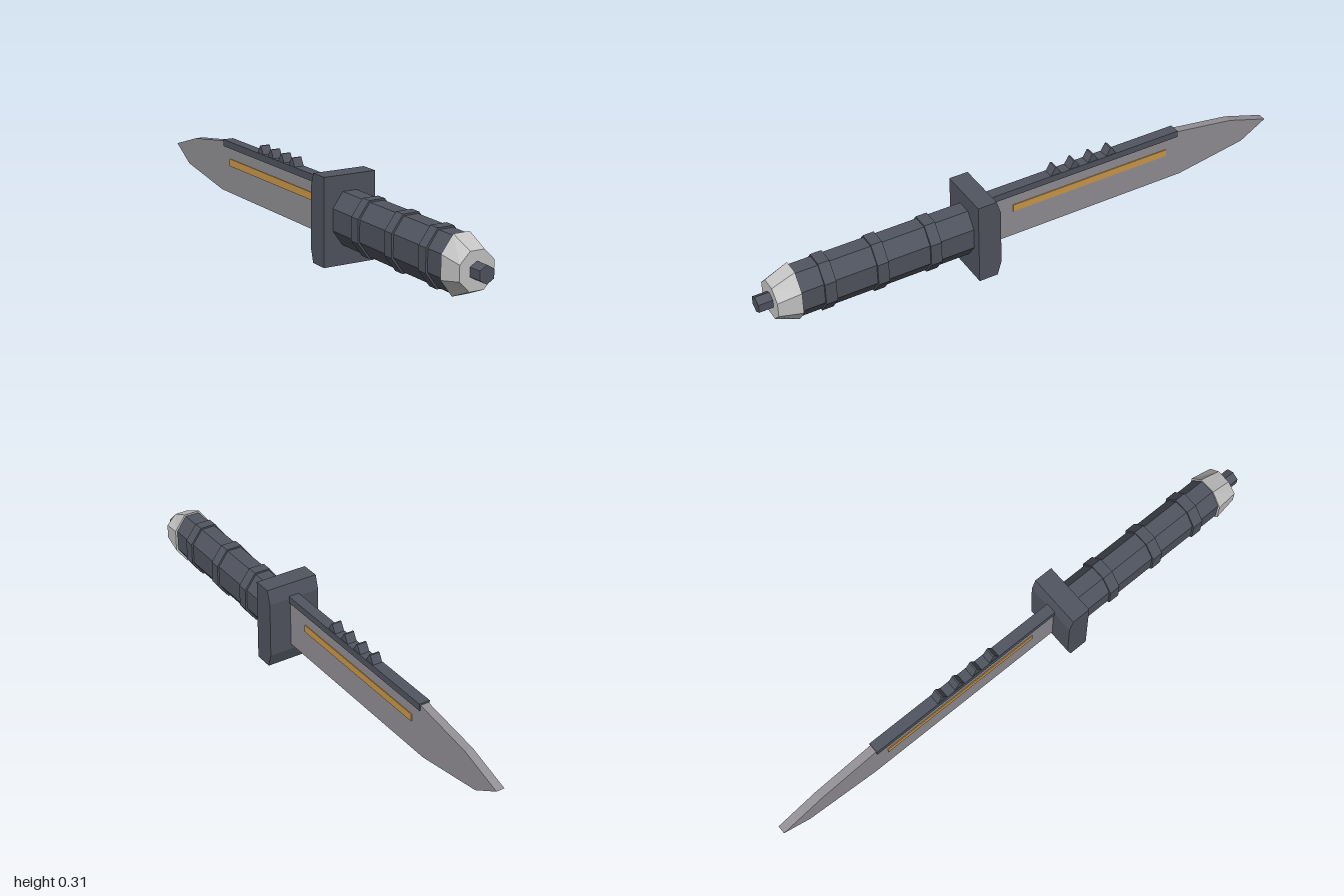
import * as THREE from 'three';

const material = (name, color) => {
  const m = new THREE.MeshStandardMaterial({ color, flatShading: true });
  m.name = name;
  return m;
};

const AXIS_Y = 0.16; // height of the handle's centre line

export function createModel() {
  const model = new THREE.Group();
  model.name = 'knife';
  const dark = material('dark slate', 0x515560);
  const steel = material('blade steel', 0x939196);
  const silver = material('pale silver', 0xc6c6c6);
  const amber = material('amber', 0xcf9a4a);

  const add = (name, geometry, mat) => {
    const mesh = new THREE.Mesh(geometry, mat);
    mesh.name = name;
    model.add(mesh);
    return mesh;
  };

  // Side profile of [z, y] points, extruded to a given width across x
  const plate = (name, points, width, mat) => {
    const shape = new THREE.Shape(points.map(([z, y]) => new THREE.Vector2(-z, y)));
    const geo = new THREE.ExtrudeGeometry(shape, { depth: width, bevelEnabled: false });
    geo.translate(0, 0, -width / 2).rotateY(Math.PI / 2);
    return add(name, geo, mat);
  };

  // Eight-sided section along z; half sizes are measured across the flats
  const octagon = (name, zBack, zFront, back, front, mat) => {
    const k = 1 / Math.cos(Math.PI / 8);
    const geo = new THREE.CylinderGeometry(k, k, zFront - zBack, 8, 1, false, Math.PI / 8);
    geo.rotateX(Math.PI / 2);
    const p = geo.attributes.position;
    for (let i = 0; i < p.count; i++) {
      const [hx, hy] = p.getZ(i) > 0 ? front : back;
      p.setXY(i, p.getX(i) * hx, p.getY(i) * hy);
    }
    geo.computeVertexNormals();
    geo.translate(0, AXIS_Y, (zFront + zBack) / 2);
    return add(name, geo, mat);
  };

  // Handle with three raised rings
  octagon('handle', 0.23, 0.87, [0.065, 0.091], [0.065, 0.091], dark);
  [0.385, 0.58, 0.768].forEach((z) =>
    octagon('gripRing', z - 0.02, z + 0.02, [0.072, 0.097], [0.072, 0.097], dark));

  // Tapered pommel and hexagonal end nut
  octagon('pommel', 0.868, 0.95, [0.073, 0.098], [0.063, 0.063], silver);
  const nut = new THREE.CylinderGeometry(0.03, 0.03, 0.06, 6);
  nut.rotateX(Math.PI / 2).translate(0, AXIS_Y, 0.97);
  add('pommelNut', nut, dark);

  // Crossguard, chamfered toward the blade
  plate('guard', [
    [0.24, 0], [0.17, 0], [0.155, 0.05], [0.155, 0.257], [0.17, 0.307], [0.24, 0.307],
  ], 0.196, dark);

  // Blade
  plate('blade', [
    [0.17, 0.07], [-0.63, 0.07], [-0.9, 0.115], [-1, 0.175],
    [-0.84, 0.225], [-0.6, 0.26], [0.17, 0.26],
  ], 0.03, steel);

  // Spine strip with saw teeth
  plate('spine', [[0.17, 0.24], [-0.608, 0.24], [-0.608, 0.265], [0.17, 0.265]], 0.04, dark);
  for (let i = 0; i < 4; i++) {
    const z = -0.108 - i * 0.074;
    plate('sawTooth', [[z + 0.021, 0.263], [z - 0.021, 0.263], [z - 0.003, 0.294], [z + 0.003, 0.294]], 0.036, dark);
  }

  // Thin inlay strip on each face of the blade
  for (const side of [-1, 1]) {
    const strip = new THREE.BoxGeometry(0.004, 0.027, 0.625);
    strip.translate(side * 0.016, 0.186, -0.252);
    add(side > 0 ? 'leftInlay' : 'rightInlay', strip, amber);
  }

  return model;
}
